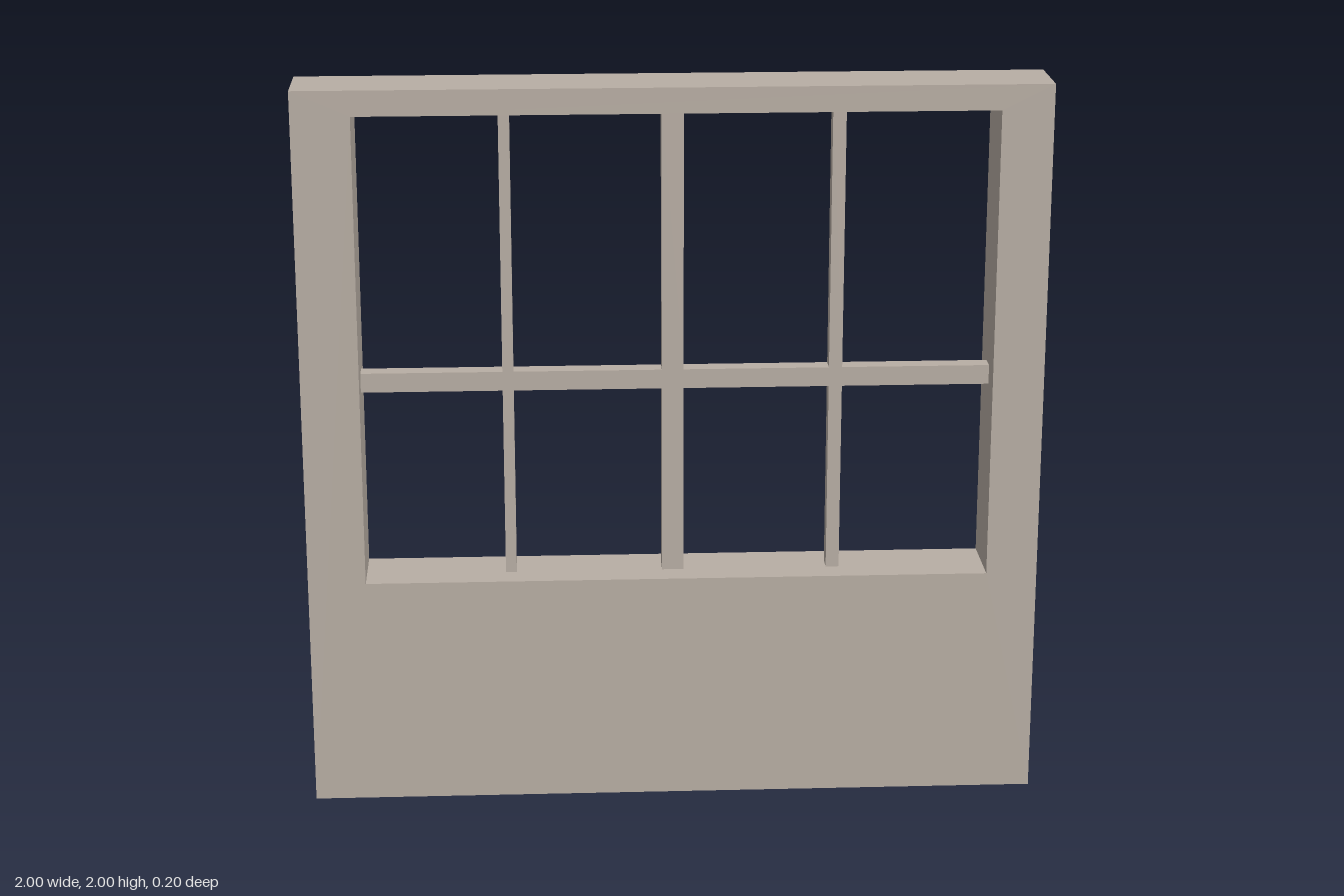
import * as THREE from 'three';

export function createModel() {
  const group = new THREE.Group();
  const paint = new THREE.MeshStandardMaterial({ color: 0xb8aea4, side: THREE.DoubleSide });
  paint.name = 'warm grey';

  // Rectangles are [u0, v0, u1, v1]
  const trace = (path, [u0, v0, u1, v1]) =>
    path.moveTo(u0, v0).lineTo(u1, v0).lineTo(u1, v1).lineTo(u0, v1).closePath();

  // Flat sheet with rectangular holes, facing along the given axis at position p:
  // z spans (x, y), y spans (x, z), x spans (z, y)
  function sheet(name, axis, p, rect, holes = []) {
    const shape = new THREE.Shape();
    trace(shape, rect);
    for (const h of holes) {
      const path = new THREE.Path();
      trace(path, h);
      shape.holes.push(path);
    }
    const geo = new THREE.ShapeGeometry(shape);
    if (axis === 'y') geo.rotateX(Math.PI / 2);
    if (axis === 'x') geo.rotateY(-Math.PI / 2);
    const mesh = new THREE.Mesh(geo, paint);
    mesh.position[axis] = p;
    mesh.name = name;
    group.add(mesh);
  }

  const D = 0.1, d = 0.025;                       // half depths of wall and bars
  const [L, B, R, T] = [-0.843, 0.637, 0.861, 1.931]; // window opening
  const bars = [[-0.461, -0.431], [-0.03, 0.029], [0.424, 0.46]];
  const rail = [1.16, 1.213];

  // Wall shell, open at both ends
  for (const s of [1, -1]) {
    sheet(s > 0 ? 'wallFront' : 'wallBack', 'z', s * D, [-1, 0, 1, 2], [[L, B, R, T]]);
  }
  sheet('wallTop', 'y', 2, [-1, -D, 1, D]);
  sheet('wallBottom', 'y', 0, [-1, -D, 1, D]);

  // Window reveals, cut where the hollow bars meet them
  const barHoles = bars.map(([a, b]) => [a, -d, b, d]);
  sheet('windowSill', 'y', B, [L, -D, R, D], barHoles);
  sheet('windowHead', 'y', T, [L, -D, R, D], barHoles);
  for (const x of [L, R]) {
    sheet('windowJamb', 'x', x, [-D, B, D, T], [[-d, rail[0], d, rail[1]]]);
  }

  // Panes left open between the glazing bars
  const xs = [L, ...bars.flat(), R];
  const ys = [B, ...rail, T];

  // Bar faces: the rail and the upright pieces above and below it
  for (const z of [d, -d]) {
    sheet('railFace', 'z', z, [L, rail[0], R, rail[1]]);
    for (const [a, b] of bars) {
      sheet('uprightFace', 'z', z, [a, B, b, rail[0]]);
      sheet('uprightFace', 'z', z, [a, rail[1], b, T]);
    }
  }

  // Bar sides around every pane
  for (let i = 0; i < xs.length; i += 2) {
    for (let j = 0; j < ys.length; j += 2) {
      const [x0, x1, y0, y1] = [xs[i], xs[i + 1], ys[j], ys[j + 1]];
      sheet('railSide', 'y', j === 0 ? y1 : y0, [x0, -d, x1, d]);
      if (x0 !== L) sheet('uprightSide', 'x', x0, [-d, y0, d, y1]);
      if (x1 !== R) sheet('uprightSide', 'x', x1, [-d, y0, d, y1]);
    }
  }
  return group;
}
